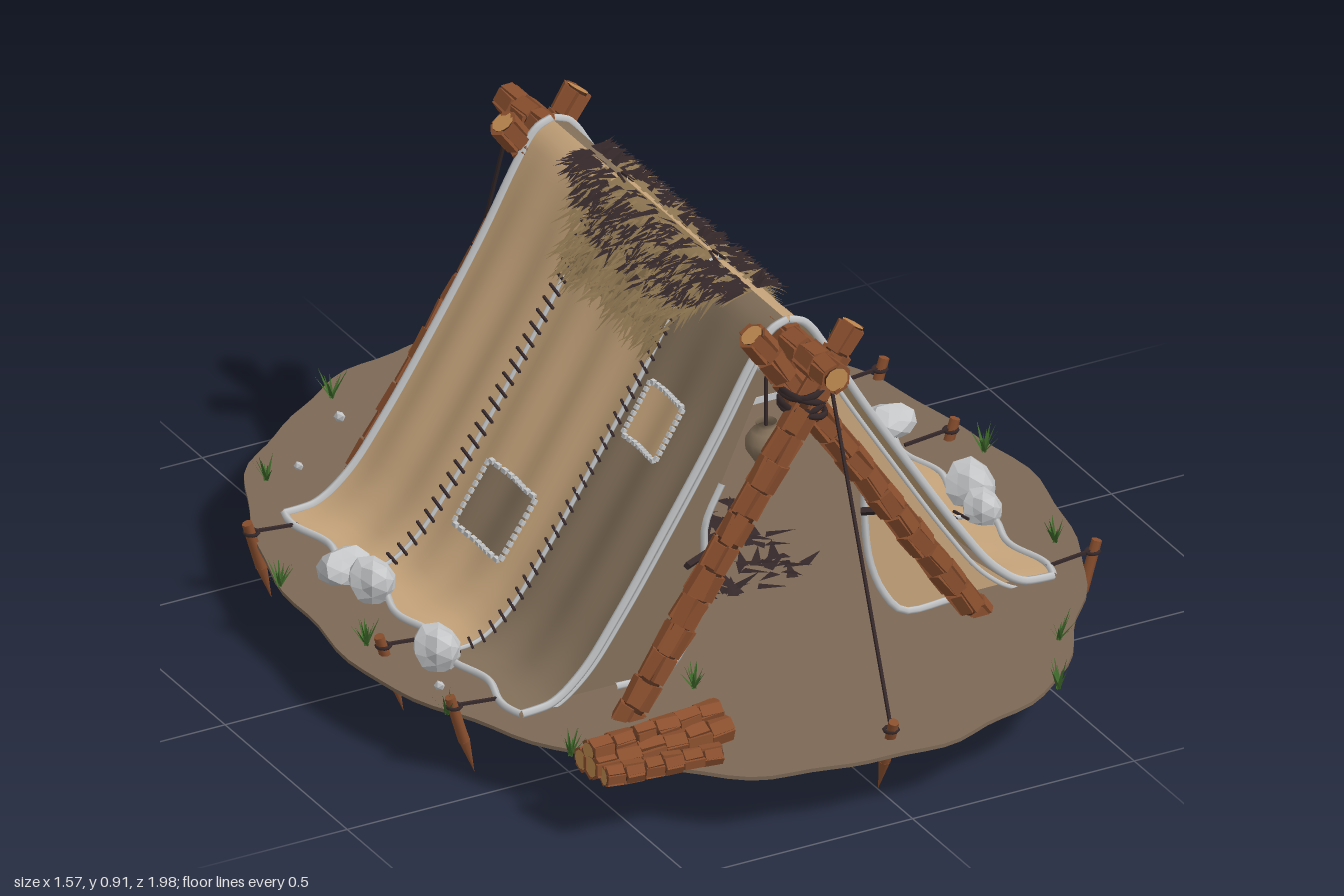
import * as THREE from 'three';
import { mergeGeometries } from 'three/addons/utils/BufferGeometryUtils.js';

const V = (x, y, z) => new THREE.Vector3(x, y, z);
const GROUND = 0.138;

export function createModel() {
  const root = new THREE.Group();
  const mat = (name, color, side = THREE.FrontSide) =>
    Object.assign(new THREE.MeshStandardMaterial({ color, side }), { name });
  const D = THREE.DoubleSide;
  const earth = mat('earth', 0x7c6855), tan = mat('tan canvas', 0xc6a47b, D), brown = mat('brown canvas', 0x83705a, D);
  const bark = mat('bark', 0x8a4f2e), darkBark = mat('dark bark', 0x4d2c1b), cutWood = mat('cut wood', 0xc08a50);
  const pale = mat('pale grey', 0xc4c6c8), green = mat('grass green', 0x3f6a2b, D);
  const dark = mat('dark leaf', 0x35282a, D), fur = mat('straw', 0x8f7752, D);

  let seed = 7;
  const rnd = () => (seed = (seed * 16807) % 2147483647) / 2147483647;
  const vary = (a, b) => a + (b - a) * rnd();
  const add = (name, geo, m, parent = root) => {
    const mesh = new THREE.Mesh(geo, m);
    mesh.name = name;
    parent.add(mesh);
    return mesh;
  };
  const tubeGeo = (pts, r, seg = pts.length * 3) =>
    new THREE.TubeGeometry(new THREE.CatmullRomCurve3(pts), seg, r, 5);
  const triangles = (pts) => {
    const g = new THREE.BufferGeometry().setFromPoints(pts);
    g.computeVertexNormals();
    return g;
  };
  // Bar of square section from a to b
  const bar = (a, b, w) => {
    const d = b.clone().sub(a), g = new THREE.BoxGeometry(w, d.length(), w);
    g.applyQuaternion(new THREE.Quaternion().setFromUnitVectors(V(0, 1, 0), d.normalize()));
    return g.translate((a.x + b.x) / 2, (a.y + b.y) / 2, (a.z + b.z) / 2);
  };

  // Ground patch with an uneven rim
  const groundGeo = new THREE.CylinderGeometry(1, 1, 0.008, 120);
  const gp = groundGeo.attributes.position;
  for (let i = 0; i < gp.count; i++) {
    const a = Math.atan2(gp.getZ(i), gp.getX(i));
    const k = 0.98 + 0.01 * Math.sin(7 * a) + 0.007 * Math.sin(13 * a + 1) + 0.005 * Math.sin(23 * a);
    gp.setXYZ(i, gp.getX(i) * 0.79 * k, gp.getY(i) + GROUND - 0.004, gp.getZ(i) * k * 1.005);
  }
  add('ground', groundGeo, earth);

  // Log: dark core with pale cut ends, covered in bark plates
  function log(name, a, b, r, rows) {
    const g = new THREE.Group(), len = a.distanceTo(b), plates = [];
    g.name = name;
    add(name + 'Core', new THREE.CylinderGeometry(r * 0.88, r * 0.88, len, 10), [darkBark, cutWood, cutWood], g);
    for (let i = 0; i < rows; i++) for (let j = 0; j < 6; j++) {
      const h = (len / rows) * vary(0.8, 1.05), ang = (j + (i % 2) * 0.35) * Math.PI / 3;
      plates.push(new THREE.BoxGeometry(r * vary(0.85, 1.08), h, r * 0.35)
        .rotateZ(vary(-0.08, 0.08)).rotateX(vary(-0.06, 0.06))
        .translate(0, -len / 2 + (i + 0.5) * len / rows, r * vary(0.8, 0.95)).rotateY(ang));
    }
    add(name + 'Bark', mergeGeometries(plates), bark, g);
    g.position.copy(a).add(b).multiplyScalar(0.5);
    g.quaternion.setFromUnitVectors(V(0, 1, 0), b.clone().sub(a).normalize());
    root.add(g);
  }

  // Crossed pole frames, lashings and the ridge pole
  for (const [zl, zr] of [[0.575, 0.522], [-0.55, -0.497]]) {
    log('frontLeaningPole', V(-0.43, 0.1, zl), V(0.1, 0.885, zl), 0.027, 15);
    log('backLeaningPole', V(0.43, 0.1, zr), V(-0.1, 0.885, zr), 0.027, 15);
    const rings = [0, 1, 2, 3].map((i) => new THREE.TorusGeometry(1, 0.13, 5, 16).rotateX(Math.PI / 2)
      .scale(0.045, 0.06, 0.055).rotateZ(i % 2 ? 0.3 : -0.3).translate(0, 0.715 + i * 0.016, (zl + zr) / 2));
    add('lashing', mergeGeometries(rings), dark);
  }
  log('ridgePole', V(0, 0.838, -0.66), V(0, 0.838, 0.69), 0.029, 22);

  // Canvas slope: a point at slope position t (0 ridge, 1 hem), depth z, lift along the normal
  const slope = new THREE.CatmullRomCurve3([[0, 0.876], [0.035, 0.862], [0.075, 0.805], [0.16, 0.655], [0.27, 0.478],
    [0.38, 0.31], [0.46, 0.205], [0.53, 0.153], [0.6, 0.146]].map(([x, y]) => V(x, y, 0)));
  function P(side, t, z, lift = 0) {
    const p = slope.getPointAt(t), n = slope.getTangentAt(t);
    const l = lift + 0.006 * Math.sin(z * 42 + side) * Math.sin(Math.PI * t);
    const hem = Math.max(0, t - 0.85) / 0.15;
    return V(side * (p.x - n.y * l + hem * 0.012 * Math.cos(z * 29)), p.y + n.x * l, z);
  }
  const tAtX = (x) => { let t = 0; while (slope.getPointAt(t).x < x && t < 0.995) t += 0.005; return t; };
  function sheet(name, side, t0, t1, z0, z1, lift, m) {
    const g = new THREE.PlaneGeometry(1, 1, 16, 28), p = g.attributes.position;
    for (let i = 0; i < p.count; i++) {
      const z = z0 + (z1 - z0) * (p.getX(i) + 0.5), q = P(side, t0 + (t1 - t0) * (0.5 - p.getY(i)), z, lift);
      p.setXYZ(i, q.x, q.y, q.z);
    }
    g.computeVertexNormals();
    add(name, g, m);
  }
  const line = (n, f) => Array.from({ length: n + 1 }, (_, i) => f(i / n));

  const Z0 = -0.475, Z1 = 0.488, S0 = -0.178, S1 = 0.195;
  const patches = { 1: [[0.26, 0.35, 0.25, 0.43, brown], [0.155, 0.22, -0.38, -0.23, tan]],
    '-1': [[0.335, 0.42, -0.095, 0.09, brown], [0.155, 0.22, 0.235, 0.37, tan]] };
  for (const s of [-1, 1]) {
    // Three panels to each slope
    sheet('backPanel', s, 0, 1, Z0, S0, 0, s > 0 ? brown : tan);
    sheet('middlePanel', s, 0, 1, S0, S1, 0.003, tan);
    sheet('frontPanel', s, 0, 1, S1, Z1, 0, s > 0 ? tan : brown);
    // Hem and edge cords
    for (const z of [Z0, Z1]) {
      add('edgeCord', tubeGeo(line(30, (t) => P(s, t, z, 0.003)), 0.009), pale);
      add('innerEdgeCord', tubeGeo(line(30, (t) => P(s, t, z * 0.97, -0.022)), 0.005), pale);
    }
    add('hemCord', tubeGeo(line(40, (u) => P(s, 1, Z0 + u * (Z1 - Z0), 0.003)), 0.008), pale);
    // Seams with cross stitches
    for (const z of [S0, S1]) {
      add('seam', tubeGeo(line(40, (t) => P(s, t, z, 0.006)), 0.005), pale);
      add('seamStitches', mergeGeometries(line(34, (t) =>
        bar(P(s, t, z - 0.02, 0.01), P(s, Math.min(1, t + 0.008), z + 0.02, 0.01), 0.005))), dark);
    }
    // Patches with stitched borders
    for (const [x0, x1, z0, z1, m] of patches[s]) {
      const a = tAtX(x0), b = tAtX(x1), st = [];
      sheet('patch', s, a, b, z0, z1, 0.009, m);
      for (let i = 0; i < 9; i++) {
        const u = (i + 0.15) / 9, w = (i + 0.8) / 9;
        for (const t of [a, b]) st.push(bar(P(s, t, z0 + u * (z1 - z0), 0.011), P(s, t, z0 + w * (z1 - z0), 0.011), 0.009));
        for (const z of [z0, z1]) st.push(bar(P(s, a + u * (b - a), z, 0.011), P(s, a + w * (b - a), z, 0.011), 0.009));
      }
      add('patchStitches', mergeGeometries(st), pale);
    }
    // Tied-back door flap
    const flap = new THREE.Shape();
    flap.moveTo(0.02, 0.8);
    flap.lineTo(0.14, 0.54);
    flap.quadraticCurveTo(0.185, 0.46, 0.18, 0.4);
    flap.quadraticCurveTo(0.18, 0.22, 0.27, 0.15);
    flap.lineTo(0.51, 0.15);
    for (const t of [0.8, 0.6, 0.4, 0.2]) { const q = slope.getPointAt(t); flap.lineTo(q.x - 0.01, q.y - 0.01); }
    add('doorFlap', new THREE.ShapeGeometry(flap).scale(s, 1, 1).translate(0, 0, 0.47), s > 0 ? tan : brown);
    add('flapCord', tubeGeo([[0.14, 0.54], [0.178, 0.46], [0.181, 0.38], [0.193, 0.28], [0.225, 0.2], [0.27, 0.15], [0.38, 0.148]]
      .map(([x, y]) => V(s * x, y, 0.474)), 0.008), pale);
    add('flapTie', bar(V(s * 0.17, 0.4, 0.48), V(s * 0.25, 0.41, 0.53), 0.012), dark);
  }

  // Back wall
  const wall = new THREE.Shape(line(24, (u) => {
    const q = slope.getPointAt(Math.abs(u * 2 - 1) * 0.9);
    return new THREE.Vector2(Math.sign(u - 0.5) * q.x, q.y - 0.012);
  }));
  add('backWall', new THREE.ShapeGeometry(wall).translate(0, 0, -0.44), brown);
  add('backWallCord', bar(V(-0.52, 0.147, -0.445), V(0.52, 0.147, -0.445), 0.014), pale);

  // Straw saddle and dark leaves over the ridge
  const straw = [], leaves = [];
  function tuft(list, s, t, z, len, w, lift) {
    const zt = z + vary(-0.03, 0.03);
    list.push(P(s, t, z - w, lift * 0.4), P(s, t, z + w, lift * 0.4), P(s, Math.min(1, t + len), zt, lift + vary(0, 0.014)));
  }
  const tFur = tAtX(0.125);
  for (const s of [-1, 1]) {
    sheet('strawBase', s, 0, tFur, -0.185, 0.2, 0.012, fur);
    for (let i = 0; i < 700; i++) {
      const u = rnd(), half = 0.2 + 0.15 * (1 - u) ** 2;
      tuft(straw, s, u * tFur, 0.01 + vary(-half, half), vary(0.03, 0.06), 0.008, 0.02);
    }
    for (let i = 0; i < 330; i++) {
      const z = vary(-1, 1), tMax = tAtX(0.075 * Math.sqrt(1 - z * z) + 0.01);
      tuft(leaves, s, rnd() * tMax, 0.015 + z * 0.33, vary(0.015, 0.045), 0.011, 0.026);
    }
  }
  add('strawTufts', triangles(straw), fur);
  add('ridgeLeaves', triangles(leaves), dark);

  // Stakes and guy ropes
  function stake(x, z, dx, dz, from) {
    const top = V(x, 0.185, z), tip = V(x - dx, 0.005, z - dz);
    const d = top.clone().sub(tip), g = new THREE.CylinderGeometry(0.011, 0.012, 0.11, 7).translate(0, 0.035, 0);
    const point = new THREE.ConeGeometry(0.012, 0.08, 7).rotateX(Math.PI).translate(0, -0.06, 0);
    const st = add('stake', mergeGeometries([g, point]), bark);
    st.position.copy(top).add(tip).multiplyScalar(0.5);
    st.quaternion.setFromUnitVectors(V(0, 1, 0), d.normalize());
    add('guyRope', bar(from, V(x - dx * 0.2, 0.16, z - dz * 0.2), 0.006), dark);
    add('stakeLoop', new THREE.TorusGeometry(0.014, 0.004, 5, 10).rotateX(Math.PI / 2).translate(x - dx * 0.2, 0.158, z - dz * 0.2), dark);
  }
  stake(0, 0.925, 0, 0.065, V(0, 0.83, 0.66));
  stake(0, -0.893, 0, -0.06, V(0, 0.83, -0.635));
  for (const [s, zs] of [[-1, [-0.42, 0.12, 0.41]], [1, [-0.42, -0.13, 0.45]]])
    for (const z of zs) stake(s * 0.72, z, s * 0.055, 0, V(s * 0.605, 0.15, z));

  // Stones and pebbles
  function stone(x, z, r) {
    const g = new THREE.IcosahedronGeometry(r, r > 0.03 ? 1 : 0), p = g.attributes.position, k = vary(0, 9);
    for (let i = 0; i < p.count; i++) {
      const f = 1 + 0.13 * Math.sin(p.getX(i) / r * 3 + k) + 0.1 * Math.sin(p.getZ(i) / r * 4 + p.getY(i) / r * 3 + k);
      p.setXYZ(i, p.getX(i) * f, p.getY(i) * f * 0.85, p.getZ(i) * f);
    }
    g.computeVertexNormals();
    add(r > 0.03 ? 'stone' : 'pebble', g.translate(x, GROUND + r * 0.6, z), pale);
  }
  for (const [x, z, r] of [[-0.63, -0.19, 0.05], [-0.605, -0.11, 0.052], [-0.63, 0.2, 0.053], [0.61, -0.2, 0.05],
    [0.615, 0.12, 0.057], [0.6, 0.2, 0.044], [-0.31, -0.78, 0.013], [0.2, -0.74, 0.015], [-0.48, -0.64, 0.011],
    [-0.68, 0.3, 0.012]]) stone(x, z, r);

  // Firewood pile
  for (const [x0, x1, z0, z1, y, r] of [[-0.6, -0.29, 0.73, 0.71, 0.16, 0.024], [-0.6, -0.28, 0.77, 0.755, 0.163, 0.025],
    [-0.59, -0.34, 0.805, 0.83, 0.155, 0.02], [-0.6, -0.29, 0.76, 0.73, 0.193, 0.021]])
    log('firewood', V(x0, y, z0), V(x1, y, z1), r, 6);

  // Grass tufts
  const blades = [];
  for (const [x, z] of [[-0.28, -0.87], [0.39, -0.77], [-0.56, -0.63], [0.65, -0.53], [-0.75, -0.23], [-0.72, 0.07],
    [0.68, 0.35], [0.49, 0.71], [-0.59, 0.67], [0.39, 0.89], [0.74, -0.05], [-0.24, 0.54], [-0.72, 0.4]])
    for (let i = 0; i < 12; i++) {
      const a = vary(0, 6.28), c = Math.cos(a), n = Math.sin(a), r = vary(0.01, 0.035);
      blades.push(V(x - n * 0.005, GROUND, z + c * 0.005), V(x + n * 0.005, GROUND, z - c * 0.005),
        V(x + c * r, GROUND + vary(0.03, 0.065), z + n * r));
    }
  add('grass', triangles(blades), green);

  // Leaf bedding with a bedroll
  const bed = [];
  for (let i = 0; i < 260; i++) {
    const x = vary(-0.25, 0.2), z = vary(-0.3, 0.25), a = vary(0, 6.28), c = Math.cos(a), n = Math.sin(a);
    bed.push(V(x - n * 0.012, 0.143, z + c * 0.012), V(x + n * 0.012, 0.143, z - c * 0.012), V(x + c * 0.06, vary(0.145, 0.165), z + n * 0.06));
  }
  add('leafBedding', triangles(bed), dark);
  add('bedroll', new THREE.CylinderGeometry(0.018, 0.018, 0.28, 12).rotateZ(Math.PI / 2).translate(-0.03, 0.162, -0.2), tan);

  // Hanging pot
  const pot = [[0, -0.045], [0.025, -0.04], [0.041, -0.015], [0.042, 0.005], [0.03, 0.025], [0.018, 0.033], [0.022, 0.045]];
  add('hangingPot', new THREE.LatheGeometry(pot.map(([x, y]) => new THREE.Vector2(x, y)), 16).translate(0, 0.565, 0.4), brown);
  add('potCord', bar(V(0, 0.6, 0.4), V(0, 0.82, 0.4), 0.006), dark);
  return root;
}
